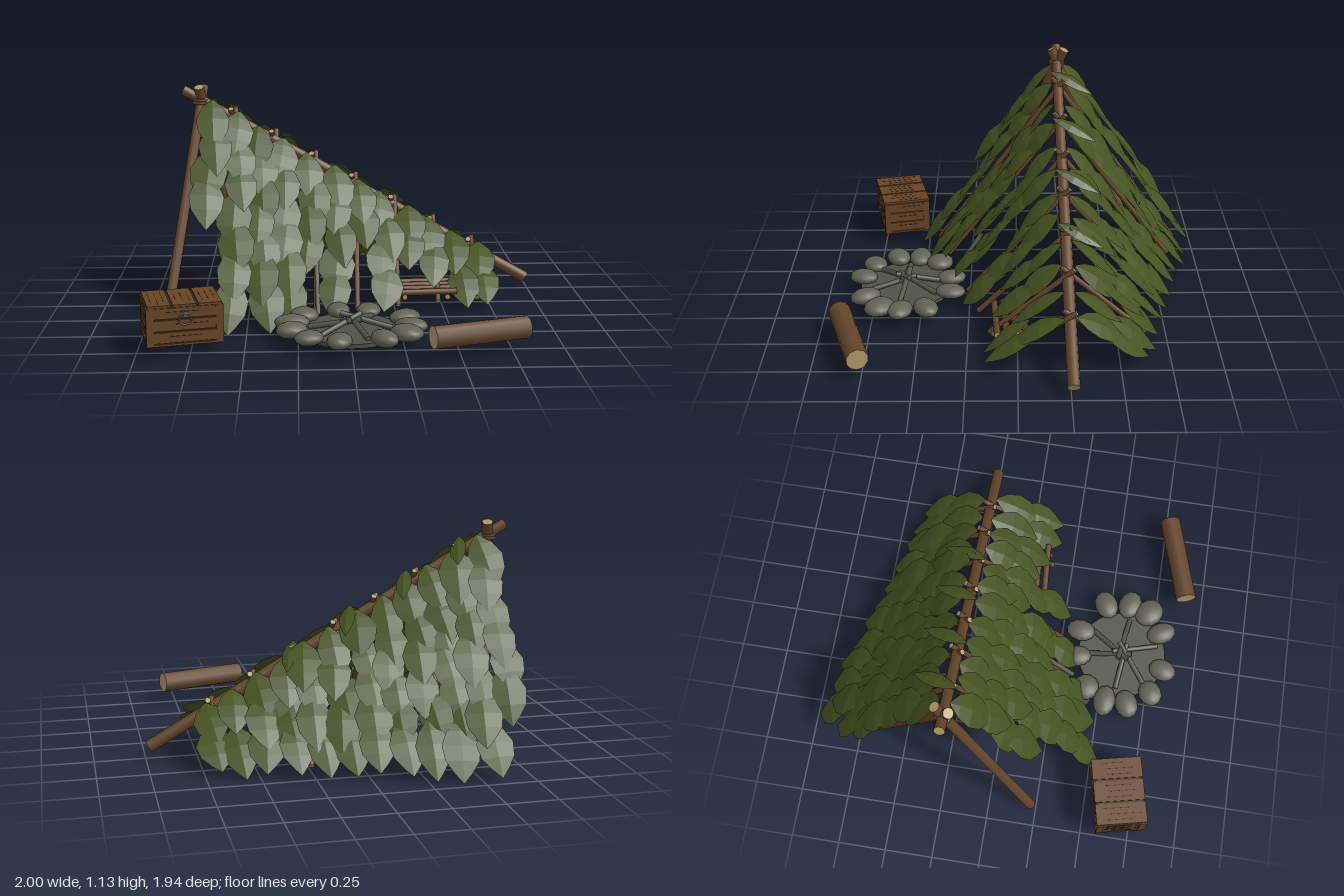
import * as THREE from 'three';

const mat = (name, color, extra = {}) => {
  const m = new THREE.MeshStandardMaterial({ color, ...extra });
  m.name = name;
  return m;
};
const V = (x, y, z) => new THREE.Vector3(x, y, z);

// Small seeded generator, returns -1..1
function seeded(seed) {
  return () => {
    seed = (seed * 16807) % 2147483647;
    return (seed / 2147483647) * 2 - 1;
  };
}

// Leaf along +z with a raised midrib, unit length and width
function leafGeometry() {
  const rows = [[0, 0.1], [0.18, 0.66], [0.42, 1], [0.66, 0.88], [0.85, 0.45], [1, 0.02]];
  const pos = [], index = [];
  rows.forEach(([t, w], i) => {
    const y = 0.06 * Math.sin(t * Math.PI * 1.15);
    for (const s of [-1, 0, 1]) pos.push(s * w / 2, y - Math.abs(s) * w * 0.04, t);
    if (i === 0) return;
    for (const k of [0, 1]) {
      const a = (i - 1) * 3 + k, b = i * 3 + k;
      index.push(a, b, a + 1, b, b + 1, a + 1);
    }
  });
  const g = new THREE.BufferGeometry();
  g.setAttribute('position', new THREE.Float32BufferAttribute(pos, 3));
  g.setIndex(index);
  const flat = g.toNonIndexed();
  flat.computeVertexNormals();
  return flat;
}

export function createModel() {
  const rnd = seeded(4711);
  const wood = mat('bark', 0x64442a);
  const cutWood = mat('cutWood', 0xb1966a);
  const crateWood = mat('crateWood', 0x674426);
  const darkWood = mat('darkWood', 0x3b2614);
  const leafMat = mat('leaf', 0x465221, { side: THREE.DoubleSide });
  const stone = mat('stone', 0x616155);
  const ash = mat('ash', 0x505247);
  const metal = mat('metal', 0x55504a);

  const model = new THREE.Group();
  model.name = 'campShelter';
  const group = (name, parent = model) => {
    const g = new THREE.Group();
    g.name = name;
    parent.add(g);
    return g;
  };
  const add = (parent, name, geo, material, x = 0, y = 0, z = 0) => {
    const m = new THREE.Mesh(geo, material);
    m.name = name;
    m.position.set(x, y, z);
    parent.add(m);
    return m;
  };
  // Round pole between two points with pale cut ends
  const pole = (parent, name, a, b, r, side = wood, end = cutWood, r2 = r) => {
    const geo = new THREE.CylinderGeometry(r2, r, a.distanceTo(b), 10);
    const m = add(parent, name, geo, [side, end, end]);
    m.position.copy(a).lerp(b, 0.5);
    m.quaternion.setFromUnitVectors(V(0, 1, 0), b.clone().sub(a).normalize());
    return m;
  };

  // Frame: ridge pole, front legs, lashing
  const ridge = (x) => V(x, 0.665 - 0.57 * x, -0.24 - 0.02 * x);
  const spread = (x) => 0.72 - 0.28 * (x + 0.6);
  const frame = group('frame');
  pole(frame, 'ridgePole', ridge(-0.84), ridge(0.985), 0.027, wood, cutWood, 0.031);
  pole(frame, 'frontLeg', V(-0.9, 0.09, 0.22), V(-0.735, 1.16, -0.265), 0.027);
  pole(frame, 'backLeg', V(-0.6, 0.09, -0.66), V(-0.755, 1.16, -0.195), 0.027);
  for (const y of [1.075, 1.09]) {
    const ring = add(frame, 'lashing', new THREE.TorusGeometry(0.036, 0.008, 6, 16), wood, -0.75, y, -0.225);
    ring.rotation.x = Math.PI / 2;
  }

  // Rafters on both slopes
  for (let i = 0; i < 7; i++) {
    const x = -0.58 + i * 0.21;
    for (const s of [1, -1]) {
      const top = ridge(x).add(V(s * 0.012, 0.05, -s * 0.03));
      const foot = V(x, 0.09, ridge(x).z + s * spread(x) * 0.93);
      pole(frame, 'rafter', foot, top, 0.014);
    }
  }
  // Grey stick leaning on a rafter beside the entrance
  pole(frame, 'leaningStick', V(-0.15, 0.09, 0.34), V(-0.155, 0.32, 0.19), 0.012, stone, stone);

  // Leaf covering, in columns from the ridge down
  const leafGeo = leafGeometry();
  const leaf = (parent, base, dir, normal, length, width) => {
    const side = normal.clone().cross(dir).normalize();
    const up = dir.clone().cross(side).normalize();
    const m = add(parent, 'leaf', leafGeo, leafMat);
    m.quaternion.setFromRotationMatrix(new THREE.Matrix4().makeBasis(side, up, dir));
    m.position.copy(base);
    m.scale.set(width, length, length);
  };
  // Share of each column that is covered; short front ones leave the entrance open
  const covered = {
    frontLeaves: [0.5, 1, 1, 1, 0.72, 1, 0.4, 1, 0.6, 0.6, 1, 1],
    backLeaves: [0.7, 1, 1, 1, 1, 1, 1, 1, 1, 1, 1, 1],
  };
  for (const [name, shares] of Object.entries(covered)) {
    const s = name === 'frontLeaves' ? 1 : -1;
    const cover = group(name);
    shares.forEach((share, i) => {
      const x = i === 0 ? -0.68 : -0.56 + (i - 1) * 0.127;
      const top = ridge(x).add(V(0, 0.035, s * 0.02));
      const foot = V(x - (i === 0 ? 0.03 : 0), 0.055, ridge(x).z + s * (spread(x) + 0.015));
      const run = top.distanceTo(foot);
      const dir = foot.clone().sub(top).normalize();
      const normal = dir.clone().cross(V(s, 0, 0)).normalize();
      if (normal.y < 0) normal.negate();
      const n = Math.max(2, Math.round((run - 0.28) / 0.145) + 1);
      const kept = Math.max(1, Math.round(n * share));
      for (let j = kept - 1; j >= 0; j--) {
        const base = top.clone().addScaledVector(dir, (run - 0.28) * j / (n - 1));
        base.addScaledVector(normal, 0.01 + 0.012 * (i % 2));
        base.x += rnd() * 0.02;
        const d = dir.clone().addScaledVector(normal, 0.07 + rnd() * 0.05).add(V(rnd() * 0.14, 0, 0)).normalize();
        const nn = normal.clone().add(V(0.1 + rnd() * 0.18, 0, 0)).normalize();
        leaf(cover, base, d, nn, 0.295 + rnd() * 0.025, 0.178 + rnd() * 0.014);
      }
    });
  }

  // Leaves lying across the ridge, tilted with its slope
  const ridgeLeaves = group('ridgeLeaves');
  for (const x of [-0.61, -0.33, -0.04, 0.25]) {
    const base = ridge(x).add(V(0, 0.065, 0.04));
    leaf(ridgeLeaves, base, V(0.3, -0.38, -0.88).normalize(), V(0.3, 0.95, 0).normalize(), 0.26, 0.085);
  }

  // Fire pit: ash bed, ring of stones, burnt sticks
  const fire = group('firePit');
  add(fire, 'ashBed', new THREE.CylinderGeometry(0.24, 0.24, 0.02, 28), ash, 0, 0.09, 0.59);
  const stones = [[0.1, 0.35], [0.27, 0.47], [0.29, 0.6], [0.26, 0.71], [0.15, 0.79], [-0.06, 0.82],
    [-0.2, 0.77], [-0.28, 0.65], [-0.28, 0.53], [-0.22, 0.42], [-0.05, 0.35]];
  for (const [x, z] of stones) {
    const m = add(fire, 'stone', new THREE.SphereGeometry(1, 12, 8), stone, x, 0.115, z);
    m.scale.set(0.08 + rnd() * 0.008, 0.038 + rnd() * 0.004, 0.066 + rnd() * 0.008);
    m.rotation.y = Math.atan2(-(z - 0.59), x) + rnd() * 0.3;
  }
  for (let i = 0; i < 6; i++) {
    const a = i * Math.PI / 3 + 0.1 + rnd() * 0.25;
    const out = V(Math.cos(a), 0, Math.sin(a));
    const across = V(-out.z, 0, out.x).multiplyScalar(0.02);
    pole(fire, 'burntStick', V(0, 0.108, 0.59).addScaledVector(out, 0.2).add(across),
      V(0, 0.16 + rnd() * 0.015, 0.59).addScaledVector(out, -0.05).sub(across), 0.014, ash, ash);
  }

  // Log seat
  const logDir = V(0.227, 0, -0.07);
  pole(model, 'logSeat', V(0.59, 0.153, 0.83).sub(logDir), V(0.59, 0.153, 0.83).add(logDir), 0.055);

  // Low stick rack inside the shelter
  const rack = group('stickRack');
  for (let i = 0; i < 4; i++) {
    const z = -0.02 + i * 0.046;
    pole(rack, 'rackStick', V(0.25, 0.15 - i * 0.006, z), V(0.57, 0.15 - i * 0.006, z - 0.02), 0.017);
  }
  for (const x of [0.3, 0.52]) pole(rack, 'rackBar', V(x, 0.12, -0.05), V(x, 0.11, 0.13), 0.014);

  // Crate: dark core with planks on every side
  const crate = group('crate');
  crate.position.set(-0.796, 0.095, 0.665);
  crate.rotation.y = 0.225;
  const W = 0.355, H = 0.195, D = 0.255;
  const box = (name, w, h, d, m, x, y, z) => add(crate, name, new THREE.BoxGeometry(w, h, d), m, x, y, z);
  box('crateCore', W - 0.02, H - 0.012, D - 0.02, darkWood, 0, H / 2, 0);
  box('crateBottom', W, 0.01, D, crateWood, 0, 0.005, 0);
  for (let i = -1; i <= 1; i++) {
    box('lidPlank', W / 3 - 0.011, 0.012, D + 0.006, crateWood, i * W / 3, H - 0.005, 0);
    for (let k = -1; k <= 1; k++) {
      box('lidGrain', 0.003, 0.002, 0.15 + rnd() * 0.04, darkWood, i * W / 3 + k * 0.03, H + 0.001, rnd() * 0.02);
    }
    const y = H / 2 + i * 0.058;
    for (const s of [1, -1]) {
      box('longPlank', W - 0.01, 0.051, 0.012, crateWood, 0, y, s * (D / 2 - 0.008));
      box('endPlank', 0.012, 0.051, D - 0.01, crateWood, s * (W / 2 - 0.008), y, 0);
      box('longGrain', 0.15, 0.003, 0.002, darkWood, rnd() * 0.04, y + 0.006, s * (D / 2 - 0.001));
      box('endGrain', 0.002, 0.003, 0.11, darkWood, s * (W / 2 - 0.001), y + 0.006, rnd() * 0.03);
    }
  }
  for (const sx of [1, -1]) {
    for (const sz of [1, -1]) {
      box('cornerPost', 0.035, H - 0.012, 0.035, crateWood, sx * (W / 2 - 0.0165), (H - 0.012) / 2, sz * (D / 2 - 0.0165));
    }
  }
  box('latchPlate', 0.02, 0.03, 0.006, metal, 0, 0.15, D / 2);
  add(crate, 'ringHandle', new THREE.TorusGeometry(0.028, 0.005, 6, 20), metal, 0, 0.127, D / 2 + 0.004);

  return model;
}
